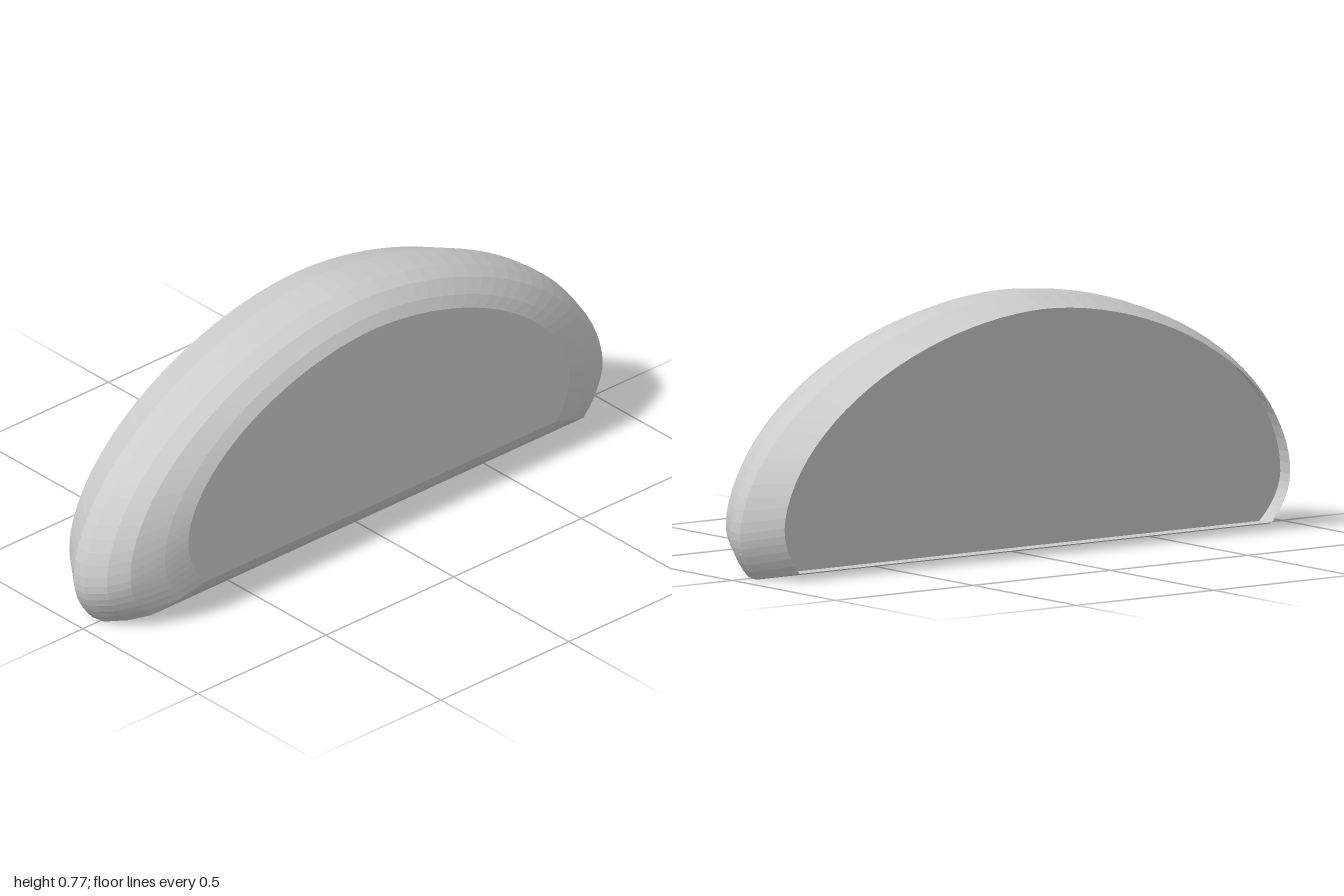
import * as THREE from 'three';

const LEAN = 0.06; // backward lean: z shift per unit of height
const POWER = 2 / 1.83; // slope of the dome's shoulders

// Rings from back to front: z at the floor, bottom y, top y, widest half width, half width at the bottom
const RINGS = [
  [-0.138, 0.023, 0.731, 0.92, 0.86],
  [-0.03, 0, 0.766, 1.0, 0.935],
  [0.015, 0.003, 0.77, 1.0, 0.93],
  [0.08, 0.02, 0.762, 0.97, 0.89],
  [0.128, 0.04, 0.746, 0.92, 0.845],
  [0.169, 0.08, 0.712, 0.82, 0.77],
  [0.19, 0.115, 0.68, 0.745, 0.69],
];

// Dome outline with a flat bottom, counter-clockwise from the lower +x corner
function domeRing([z0, yBottom, yTop, wide, foot]) {
  const yMid = yBottom + 0.14;
  const side = [];
  for (let i = 0; i < 6; i++) {
    const t = 1 - i / 6;
    side.push([wide - (wide - foot) * t * t, yMid - (yMid - yBottom) * t]);
  }
  for (let i = 0; i < 24; i++) {
    const a = (i / 24) * Math.PI / 2;
    side.push([wide * Math.cos(a) ** POWER, yMid + (yTop - yMid) * Math.sin(a) ** POWER]);
  }
  const mirrored = side.map(([x, y]) => [-x, y]).reverse();
  return [...side, [0, yTop], ...mirrored].map(([x, y]) => [x, y, z0 - LEAN * y]);
}

function meshFrom(points, index, name) {
  const geometry = new THREE.BufferGeometry();
  geometry.setAttribute('position', new THREE.Float32BufferAttribute(points.flat(), 3));
  geometry.setIndex(index);
  geometry.computeVertexNormals();
  const material = new THREE.MeshStandardMaterial({
    color: 0xcccccc, flatShading: true, side: THREE.DoubleSide,
  });
  const mesh = new THREE.Mesh(geometry, material);
  mesh.name = name;
  return mesh;
}

// Flat panel filling one ring
function panel(ring, name) {
  const index = [];
  for (let j = 1; j < ring.length - 1; j++) index.push(0, j, j + 1);
  return meshFrom(ring, index, name);
}

export function createModel() {
  const group = new THREE.Group();
  group.name = 'domedShell';
  const rings = RINGS.map(domeRing);
  const n = rings[0].length;

  // Rounded wall, open at the back
  const index = [];
  for (let i = 0; i < rings.length - 1; i++) {
    for (let j = 0; j < n; j++) {
      const k = (j + 1) % n;
      const a = i * n + j, b = i * n + k, c = b + n, d = a + n;
      index.push(a, b, c, a, c, d);
    }
  }
  group.add(meshFrom(rings.flat(), index, 'roundedWall'));

  // Front face and the panel set inside the back rim
  group.add(panel(rings[rings.length - 1], 'frontFace'));
  group.add(panel(rings[2], 'recessedBackPanel'));
  return group;
}
